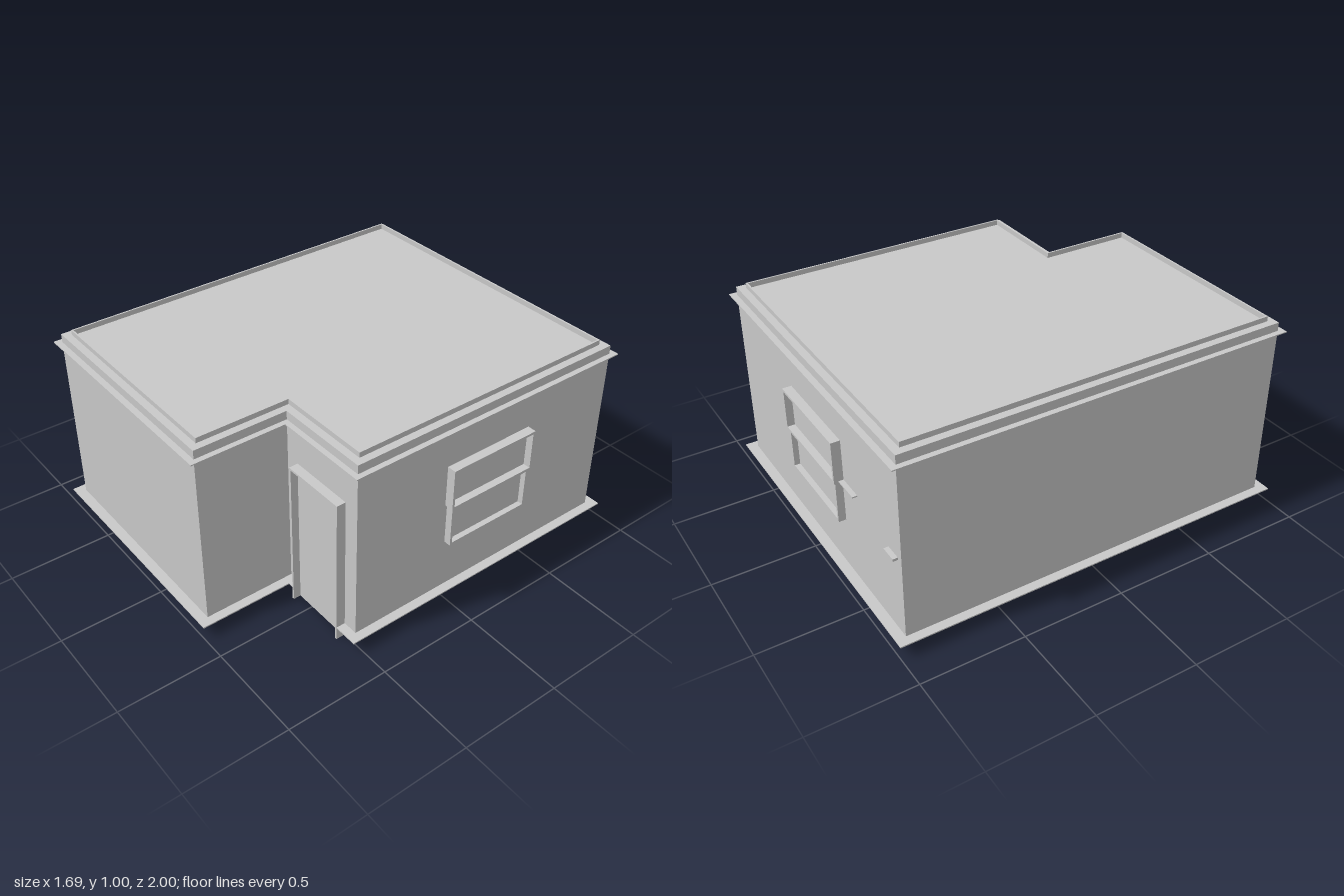
import * as THREE from 'three';

const plaster = new THREE.MeshStandardMaterial({ color: 0xc8c8c8 });
plaster.name = 'plaster grey';

const WX = 0.8, WZ = 0.952, NX = 0.33, NZ = 0.5; // walls and entrance notch

// L-shaped floor plan grown outward by dx, dz; optional gap for the door
function plan(dx, dz = dx, doorGap = false) {
  const p = [
    [-WX - dx, WZ + dz], [NX + dx, WZ + dz], [NX + dx, NZ + dx],
    ...(doorGap ? [[0.4, NZ + dx], [0.4, NZ], [0.725, NZ], [0.725, NZ + dx]] : []),
    [WX + dx, NZ + dx], [WX + dx, -WZ - dz], [-WX - dx, -WZ - dz],
  ];
  return p.map(([x, z]) => new THREE.Vector2(x, -z));
}

function slab(name, points, y, height, hole) {
  const shape = new THREE.Shape(points);
  if (hole) shape.holes.push(new THREE.Path(hole));
  const geo = new THREE.ExtrudeGeometry(shape, { depth: height, bevelEnabled: false });
  geo.rotateX(-Math.PI / 2).translate(0, y, 0);
  const mesh = new THREE.Mesh(geo, plaster);
  mesh.name = name;
  return mesh;
}

// Box given by its two extreme corners
function box(name, x0, x1, y0, y1, z0, z1) {
  const mesh = new THREE.Mesh(new THREE.BoxGeometry(x1 - x0, y1 - y0, z1 - z0), plaster);
  mesh.position.set((x0 + x1) / 2, (y0 + y1) / 2, (z0 + z1) / 2);
  mesh.name = name;
  return mesh;
}

// Two-sash window facing +z, with its back on z = 0
function makeWindow(name, half) {
  const g = new THREE.Group();
  g.name = name;
  const sash = (label, w, y0, y1, depth) => {
    const t = 0.012;
    g.add(
      box(label + 'LeftJamb', w - t, w, y0, y1, 0, depth),
      box(label + 'RightJamb', -w, -w + t, y0, y1, 0, depth),
      box(label + 'TopRail', -w + t, w - t, y1 - t, y1, 0, depth),
      box(label + 'BottomRail', -w + t, w - t, y0, y0 + t, 0, depth),
      box(label + 'Pane', -w + t, w - t, y0 + t, y1 - t, 0, 0.008),
    );
  };
  sash('lowerSash', half - 0.01, 0.325, 0.535, 0.035);
  sash('upperSash', half, 0.535, 0.742, 0.044);
  return g;
}

export function createModel() {
  const model = new THREE.Group();
  model.name = 'smallBuilding';

  // Main body, plinth and thin trim ledges
  model.add(
    slab('plinth', plan(-0.02), 0, 0.022),
    slab('walls', plan(0), 0.022, 0.953),
    slab('baseLedge', plan(0.044, 0.048, true), 0.064, 0.006),
    slab('corniceLedge', plan(0.026, 0.03), 0.928, 0.005),
    slab('roofRim', plan(-0.036), 0.975, 0.025, plan(-0.044).reverse()),
  );

  // Door in the notch wall
  const door = new THREE.Group();
  door.name = 'door';
  door.add(
    box('doorPanel', 0.41, 0.715, 0, 0.735, 0.48, 0.508),
    box('leftDoorJamb', 0.715, 0.725, 0, 0.745, 0.48, 0.545),
    box('rightDoorJamb', 0.4, 0.41, 0, 0.745, 0.48, 0.545),
    box('doorLintel', 0.41, 0.715, 0.735, 0.745, 0.48, 0.545),
  );
  model.add(door);

  // Windows on the side and the back
  const side = makeWindow('sideWindow', 0.238);
  side.rotation.y = Math.PI / 2;
  side.position.set(WX, 0, -0.224);
  const back = makeWindow('backWindow', 0.25);
  back.rotation.y = Math.PI;
  back.position.set(-0.04, 0, -WZ);
  model.add(side, back);

  // Small thin shelves beside the back window
  model.add(
    box('sillExtension', -0.42, -0.29, 0.538, 0.544, -0.975, -WZ),
    box('smallBracket', -0.77, -0.69, 0.455, 0.467, -0.975, -WZ),
  );
  return model;
}
